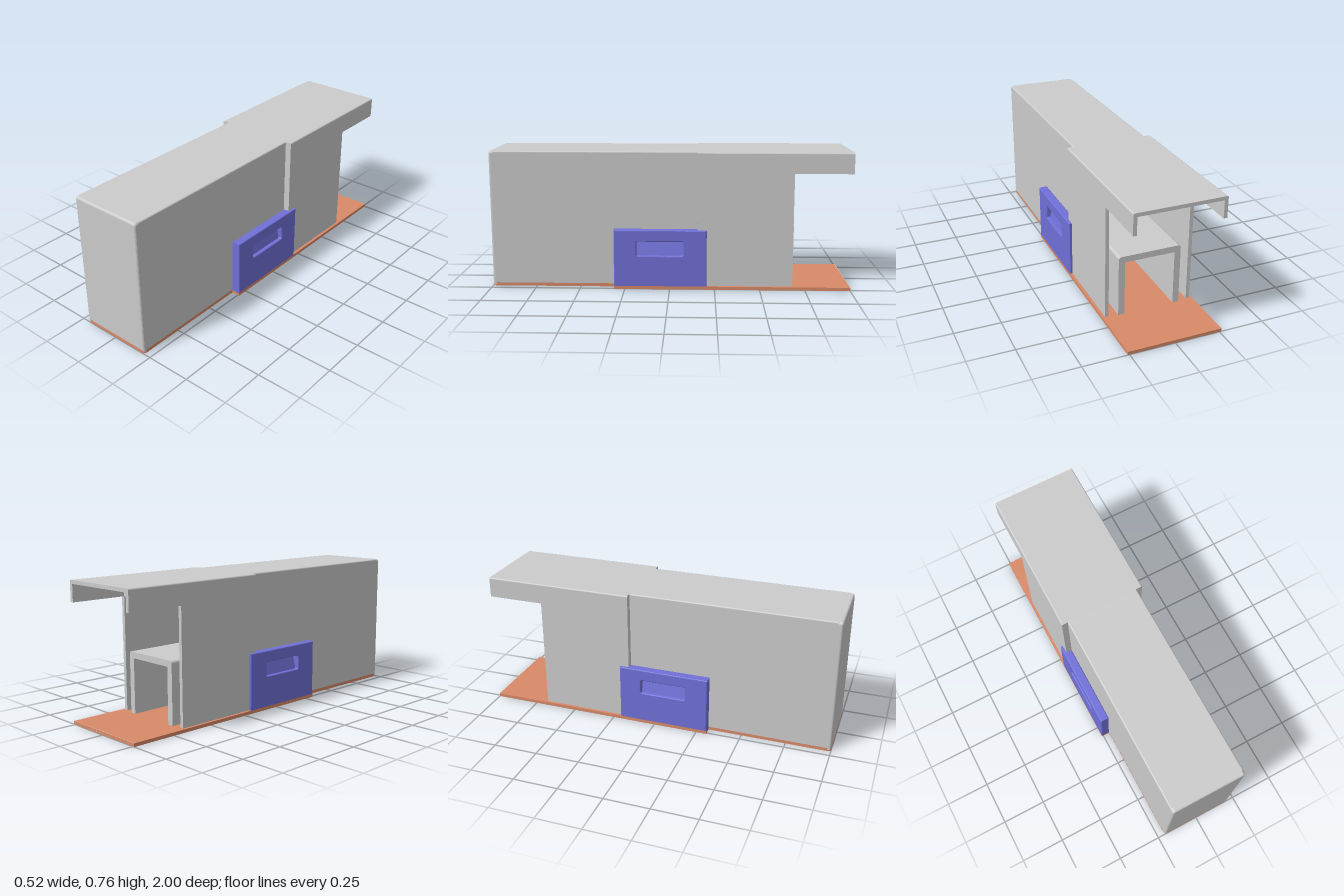
import * as THREE from 'three';

const paint = (color) => new THREE.MeshStandardMaterial({ color, side: THREE.DoubleSide });
const grey = paint(0xcccccc), orange = paint(0xd98a68), blue = paint(0x7070d8);

const BASE_TOP = 0.018, TOP = 0.765;

export function createModel() {
  const model = new THREE.Group();

  function add(name, geometry, material, parent = model) {
    const mesh = new THREE.Mesh(geometry, material);
    mesh.name = name;
    parent.add(mesh);
    return mesh;
  }

  function box(name, x, y, z, w, h, d, material = grey, parent = model) {
    const mesh = add(name, new THREE.BoxGeometry(w, h, d), material, parent);
    mesh.position.set(x, y, z);
    return mesh;
  }

  // Outline with a flat bottom and two rounded upper corners
  function arch(shape, half, bottom, top, r) {
    shape.moveTo(-half, bottom);
    shape.lineTo(half, bottom);
    shape.lineTo(half, top - r);
    shape.absarc(half - r, top - r, r, 0, Math.PI / 2);
    shape.lineTo(-half + r, top);
    shape.absarc(-half + r, top - r, r, Math.PI / 2, Math.PI);
    shape.closePath();
    return shape;
  }

  // Inverted U channel running along z
  function channel(name, half, wall, bottom, top, z0, z1, r = 0.008) {
    const s = new THREE.Shape();
    s.moveTo(-half, bottom);
    s.lineTo(-half, top - r);
    s.absarc(-half + r, top - r, r, Math.PI, Math.PI / 2, true);
    s.lineTo(half - r, top);
    s.absarc(half - r, top - r, r, Math.PI / 2, 0, true);
    s.lineTo(half, bottom);
    s.lineTo(half - wall, bottom);
    s.lineTo(half - wall, top - wall);
    s.lineTo(-half + wall, top - wall);
    s.lineTo(-half + wall, bottom);
    s.closePath();
    const g = new THREE.ExtrudeGeometry(s, { depth: z1 - z0, bevelEnabled: false, curveSegments: 5 });
    add(name, g.translate(0, 0, z0), grey);
  }

  // Base plate: narrow at the front, wider from the side panels back
  const plan = new THREE.Shape();
  plan.moveTo(-0.26, 1);
  plan.lineTo(-0.26, -0.31);
  plan.lineTo(-0.21, -0.31);
  plan.lineTo(-0.21, -0.98);
  plan.absarc(-0.19, -0.98, 0.02, Math.PI, Math.PI * 1.5);
  plan.lineTo(0.19, -1);
  plan.absarc(0.19, -0.98, 0.02, -Math.PI / 2, 0);
  plan.lineTo(0.21, -0.31);
  plan.lineTo(0.26, -0.31);
  plan.lineTo(0.26, 1);
  plan.closePath();
  const plate = new THREE.ExtrudeGeometry(plan, { depth: BASE_TOP, bevelEnabled: false, curveSegments: 5 });
  add('basePlate', plate.rotateX(-Math.PI / 2), orange);
  box('basePlateRearEdge', 0, BASE_TOP / 2, -0.9985, 0.52, BASE_TOP, 0.003);

  // Front cover: hollow channel closed by a softly edged front wall
  channel('frontCover', 0.21, 0.02, BASE_TOP, TOP, -0.155, 0.975);
  const b = 0.012;
  const face = arch(new THREE.Shape(), 0.21 - b, BASE_TOP + 0.002, TOP - b, 0.004);
  const front = new THREE.ExtrudeGeometry(face, {
    depth: 0.014, bevelThickness: b, bevelSize: b, bevelSegments: 4, curveSegments: 4,
  });
  add('frontWall', front.translate(0, 0, 1 - b - 0.014), grey);

  // Rear housing: wider shell, with an overhanging hood at the back
  channel('rearHousing', 0.245, 0.02, BASE_TOP, TOP, -0.68, -0.155);
  channel('rearHousingFlange', 0.24, 0.05, BASE_TOP, TOP - 0.005, -0.18, -0.1555);
  channel('rearHood', 0.245, 0.02, 0.65, TOP, -1, -0.68);
  box('hoodCrossRib', 0, 0.7, -0.67, 0.45, 0.1, 0.02);

  // Inner tunnel standing on the base
  channel('innerTunnel', 0.175, 0.035, BASE_TOP, 0.36, -0.69, -0.2, 0.015);

  // Side panels with a recessed grip
  for (const side of [1, -1]) {
    const panel = new THREE.Group();
    panel.name = side > 0 ? 'leftPanel' : 'rightPanel';
    const e = 0.006;
    const s = new THREE.Shape();
    s.moveTo(-0.31 + e, BASE_TOP);
    s.lineTo(0.205 - e, BASE_TOP);
    s.lineTo(0.205 - e, 0.335 - e);
    s.lineTo(-0.31 + e, 0.335 - e);
    s.closePath();
    // Grip opening
    const r = 0.015, x0 = -0.185 - e, x1 = 0.075 + e, y0 = 0.19 - e, y1 = 0.27 + e;
    const hole = new THREE.Path();
    hole.absarc(x0 + r, y0 + r, r, Math.PI, Math.PI * 1.5);
    hole.absarc(x1 - r, y0 + r, r, -Math.PI / 2, 0);
    hole.absarc(x1 - r, y1 - r, r, 0, Math.PI / 2);
    hole.absarc(x0 + r, y1 - r, r, Math.PI / 2, Math.PI);
    hole.closePath();
    s.holes.push(hole);
    const g = new THREE.ExtrudeGeometry(s, {
      depth: 0.05 - 2 * e, bevelThickness: e, bevelSize: e, bevelSegments: 3, curveSegments: 4,
    });
    // Shape x runs towards -z, thickness runs outwards along +x
    g.rotateY(Math.PI / 2).translate(0.21 + e, 0, 0);
    add('panelBody', g, blue, panel);
    // Sloping back of the grip
    const slope = box('gripBack', 0.226, 0.23, 0.055, 0.004, 0.088, 0.265, blue, panel);
    slope.rotation.z = 0.25;
    // Mirror by turning: the panel is shifted so both sides share the same z range
    if (side < 0) {
      panel.rotation.y = Math.PI;
      panel.position.z = 0.105;
    }
    // Grip is off centre by a hair only, so the turned copy lines up
    model.add(panel);
  }

  return model;
}
